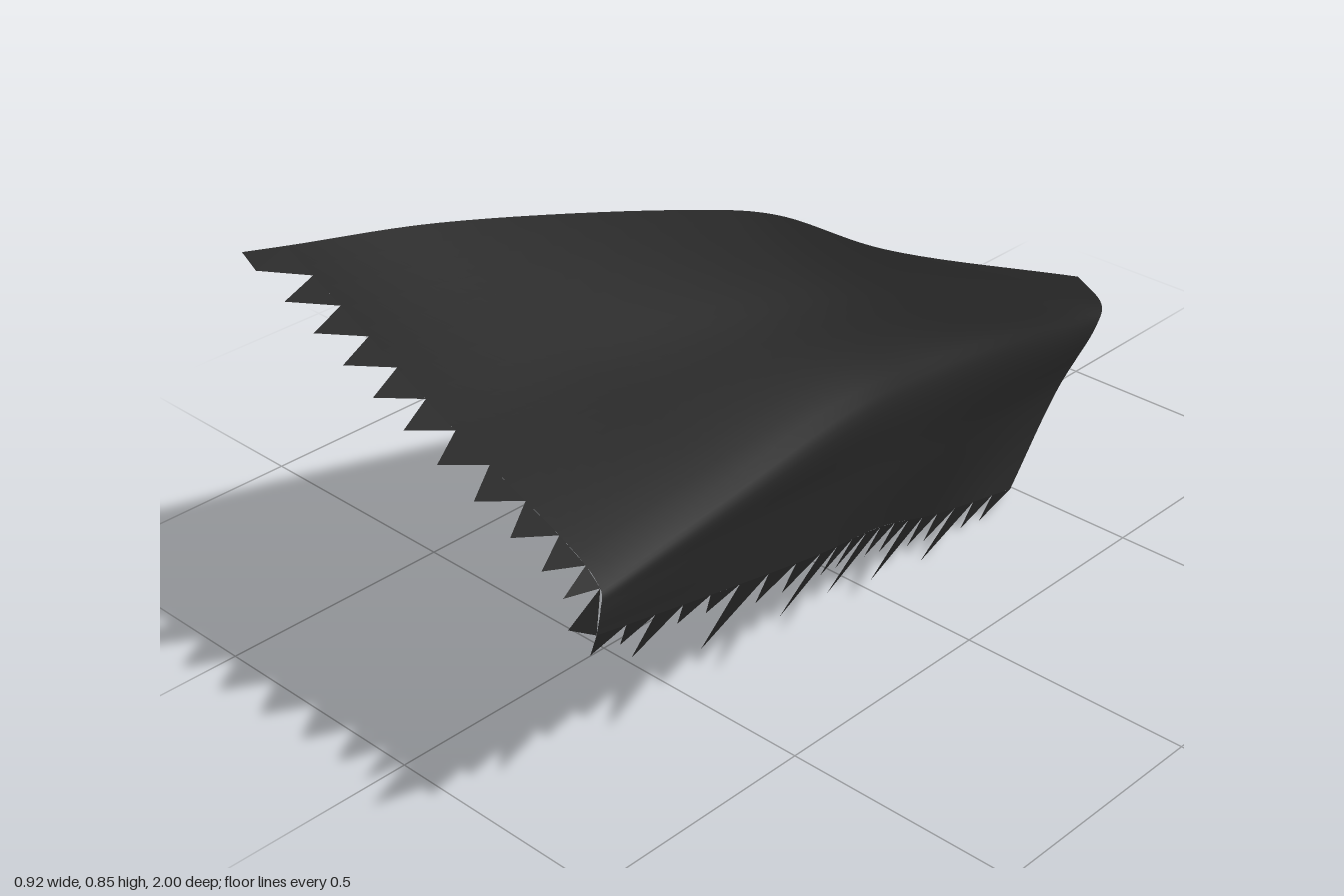
import * as THREE from 'three';

const V = (x, y, z) => new THREE.Vector3(x, y, z);

// Cross-sections from collar to front edge: spine, roof, ridge, flap, hem
const sections = [
  [[-0.01, 0.24, -1], [0.09, 0.223, -0.955], [0.125, 0.205, -0.89], [0.155, 0.13, -0.72], [0.235, 0.025, -0.46]],
  [[-0.135, 0.46, -0.47], [0.04, 0.395, -0.5], [0.175, 0.335, -0.5], [0.215, 0.2, -0.36], [0.25, 0.09, -0.2]],
  [[-0.2, 0.615, -0.2], [0.03, 0.51, -0.2], [0.22, 0.41, -0.17], [0.265, 0.28, -0.08], [0.295, 0.185, 0.03]],
  [[-0.247, 0.68, 0], [0.02, 0.565, 0.02], [0.255, 0.45, 0.05], [0.3, 0.34, 0.15], [0.335, 0.245, 0.25]],
  [[-0.37, 0.8, 0.53], [-0.01, 0.64, 0.52], [0.345, 0.485, 0.52], [0.37, 0.43, 0.56], [0.39, 0.35, 0.6]],
  [[-0.441, 0.837, 0.83], [0, 0.672, 0.86], [0.41, 0.51, 0.88], [0.43, 0.485, 0.9], [0.44, 0.45, 0.92]],
];

const rails = [0, 1, 2, 3, 4].map(
  (k) => new THREE.CatmullRomCurve3(sections.map((s) => V(...s[k])), false, 'centripetal'));

const crossSection = (t) =>
  new THREE.CatmullRomCurve3(rails.map((r) => r.getPoint(t)), false, 'centripetal');

function makeGeometry(points, index) {
  const g = new THREE.BufferGeometry().setFromPoints(points);
  g.setIndex(index);
  g.computeVertexNormals();
  return g;
}

// Smooth draped sheet lofted through the sections
function sheetGeometry(rows = 50, cols = 32) {
  const points = [], index = [];
  for (let i = 0; i <= rows; i++) {
    const curve = crossSection(i / rows);
    for (let j = 0; j <= cols; j++) {
      points.push(curve.getPoint(j / cols));
      if (i < rows && j < cols) {
        const a = i * (cols + 1) + j, b = a + cols + 1;
        index.push(a, b, a + 1, b, b + 1, a + 1);
      }
    }
  }
  return makeGeometry(points, index);
}

// Row of torn triangles; teeth is a list of [start, tip, end]
function teethGeometry(teeth) {
  const points = teeth.flat();
  return makeGeometry(points, points.map((_, i) => i));
}

export function createModel() {
  const group = new THREE.Group();
  group.name = 'tornCloth';
  const cloth = new THREE.MeshStandardMaterial({ color: 0x222222, side: THREE.DoubleSide });
  cloth.name = 'blackCloth';
  const add = (name, geometry) => {
    const mesh = new THREE.Mesh(geometry, cloth);
    mesh.name = name;
    group.add(mesh);
  };

  add('drapedSheet', sheetGeometry());

  // Sawtooth tears along the front edge
  const front = crossSection(1);
  const frontTeeth = [];
  const n = 11;
  for (let k = 0; k < n; k++) {
    const a = front.getPoint((0.5 * k) / n), b = front.getPoint((0.5 * (k + 1)) / n);
    const s = k / (n - 1);
    const tip = a.clone().lerp(b, 0.55).add(V(-0.018 + 0.035 * s, 0.008, 0.085));
    frontTeeth.push([a, tip, b]);
  }
  // Squared outer corners of the front edge
  const corner = front.getPoint(0), ridge = front.getPoint(0.5), hemEnd = front.getPoint(1);
  frontTeeth.push([corner, V(-0.463, 0.846, 0.91), frontTeeth[0][1]]);
  frontTeeth.push([ridge, V(0.46, 0.51, 1), hemEnd]);
  add('frontTears', teethGeometry(frontTeeth));

  // Slanting tears along the lower hem, every third one long
  const hemTeeth = [];
  const m = 20;
  for (let k = 0; k < m; k++) {
    const a = rails[4].getPoint(k / m), b = rails[4].getPoint((k + 1) / m);
    const size = (k % 3 === 2 ? 1 : 0.5) * (k > 14 ? 0.65 : 1);
    const tip = a.clone().lerp(b, 0.6).add(V(0.008, -0.075, 0.14).multiplyScalar(size));
    tip.y = Math.max(tip.y, 0);
    hemTeeth.push([a, tip, b]);
  }
  add('hemTears', teethGeometry(hemTeeth));

  return group;
}
